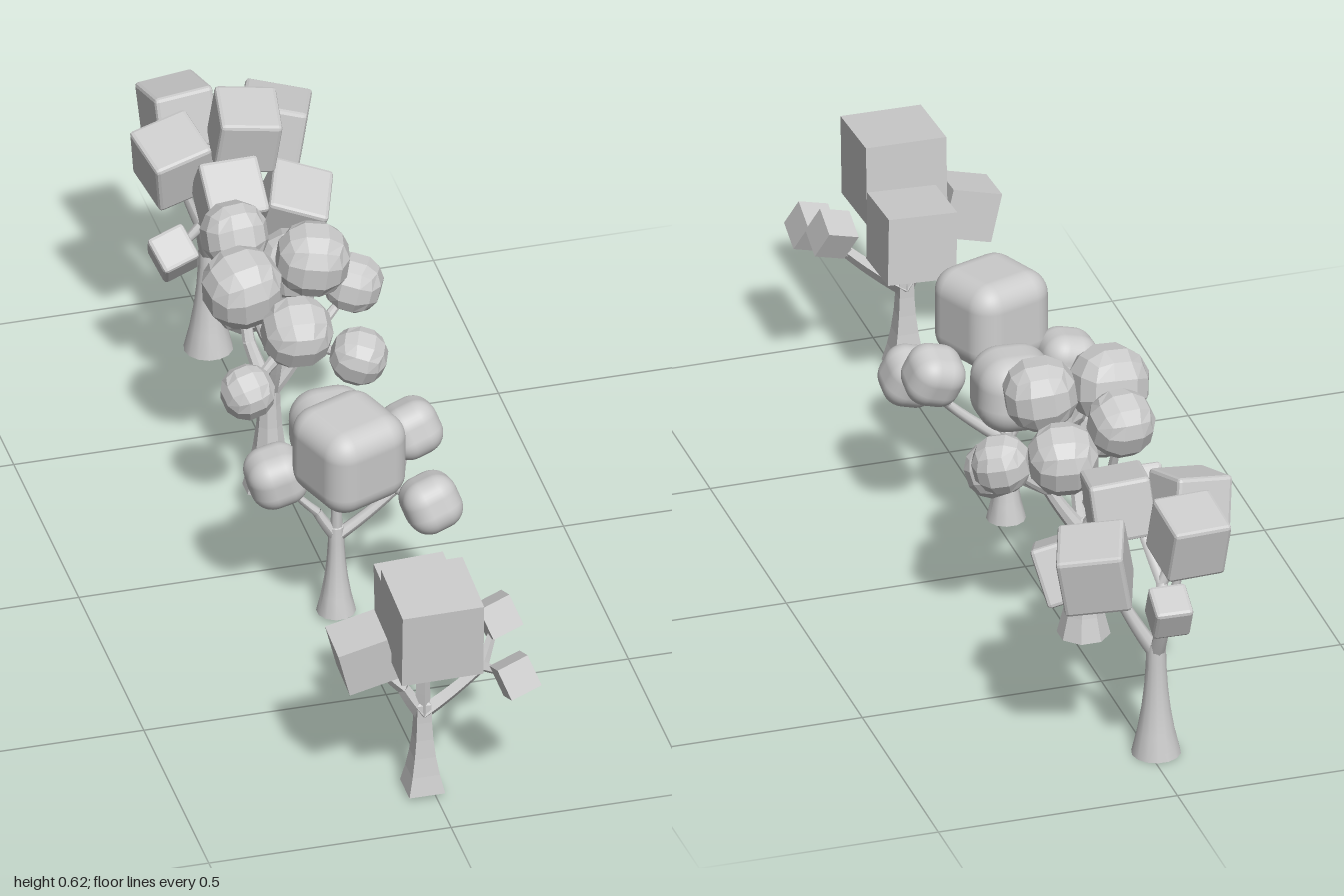
import * as THREE from 'three';
import { toCreasedNormals } from 'three/addons/utils/BufferGeometryUtils.js';
import { RoundedBoxGeometry } from 'three/addons/geometries/RoundedBoxGeometry.js';

// Box whose vertices are pushed out to a sphere: a coarse quad ball
function quadBall(size) {
  const g = new THREE.BoxGeometry(1, 1, 1, 3, 3, 3);
  const p = g.attributes.position, v = new THREE.Vector3();
  for (let i = 0; i < p.count; i++) {
    v.fromBufferAttribute(p, i).setLength(size / 2);
    p.setXYZ(i, v.x, v.y, v.z);
  }
  return g;
}

// Foliage shapes, one per kind of tree
const cube = (s) => new THREE.BoxGeometry(s, s, s);
const softCube = (s) => new RoundedBoxGeometry(s, s, s, 5, s * (s > 0.17 ? 0.27 : 0.38));
const bevelCube = (s) => new RoundedBoxGeometry(s, s, s, 1, 0.008);

// Foliage tilts: small crowns lift their side pieces, full crowns lean outward
const sideTilt = (p) => [p.x > 0.1 ? -0.42 : 0.08, 0, 2 * Math.abs(p.x)];
const turnedTilt = (p, size) => [p.x > 0.1 ? -0.3 : 0.04, size > 0.17 ? 0.37 : 0, 2 * Math.abs(p.x)];
const outwardTilt = (p) => [3.3 * p.z, -2.3 * p.x, -1.4 * p.x];

// Curved branch that thins from r0 to r1
function limbGeometry(a, b, r0, r1, sides) {
  const mid = a.clone().lerp(b, 0.5);
  mid.y = a.y + (b.y - a.y) * 0.42;
  const curve = new THREE.QuadraticBezierCurve3(a, mid, b);
  const steps = 6, g = new THREE.TubeGeometry(curve, steps, 1, sides);
  const p = g.attributes.position, v = new THREE.Vector3();
  for (let i = 0; i < p.count; i++) {
    const u = Math.floor(i / (sides + 1)) / steps, c = curve.getPointAt(u);
    v.fromBufferAttribute(p, i).sub(c).multiplyScalar(r0 + (r1 - r0) * u).add(c);
    p.setXYZ(i, v.x, v.y, v.z);
  }
  g.computeVertexNormals();
  return g;
}

// Trunk: closed foot, flared by a falling curve up to the first fork
function trunkGeometry(r, height, sides) {
  const profile = [new THREE.Vector2(0, 0)];
  for (let i = 0; i <= 5; i++) {
    const t = i / 5;
    profile.push(new THREE.Vector2(r * (0.4 + 0.6 * (1 - t) ** 2.2), height * t));
  }
  profile.push(new THREE.Vector2(0, height * 1.05));
  return toCreasedNormals(new THREE.LatheGeometry(profile, sides, Math.PI / sides), 0.7);
}

// One tree around its own foot. Leaves are [x, y, z, size]; each grows from the nearest fork.
function buildTree({ name, shape, tilt, sides, radius, height, flatBark, flatLeaves, forks, leaves }) {
  const group = new THREE.Group();
  group.name = name;
  const add = (part, geometry, flatShading) => {
    const material = new THREE.MeshStandardMaterial({ color: 0xcccccc, flatShading, side: THREE.DoubleSide });
    const mesh = new THREE.Mesh(geometry, material);
    mesh.name = part;
    group.add(mesh);
    return mesh;
  };

  add('trunk', trunkGeometry(radius, height, sides), flatBark);

  // Main limbs
  const twigSides = Math.min(sides, 8), rFork = radius * 0.24;
  const crotch = new THREE.Vector3(0, height - 0.025, 0);
  const nodes = forks.map((f) => new THREE.Vector3(...f));
  for (const node of nodes) {
    add('limb', limbGeometry(crotch, node, radius * 0.34, rFork, twigSides), flatBark);
  }

  // Twigs and foliage
  for (const [x, y, z, size] of leaves) {
    const p = new THREE.Vector3(x, y, z);
    const node = nodes.reduce((a, b) => (p.distanceTo(b) < p.distanceTo(a) ? b : a));
    add('twig', limbGeometry(node, p, rFork, rFork * 0.5, twigSides), flatBark);
    const leaf = add('foliage', shape(size), flatLeaves);
    leaf.position.copy(p);
    leaf.rotation.set(...tilt(p, size));
  }
  return group;
}

// Five-piece crown shared by the two small trees
const smallCrown = (grow, shift) => [
  [0.005, 0.426, 0.055 + shift, 0.168 * grow],
  [0.02, 0.354, -0.109, 0.143 * grow],
  [-0.125, 0.34, 0, 0.104 * grow],
  [0.167, 0.35 + shift, -0.047, 0.068 * grow + shift * 1.5],
  [0.167, 0.294, 0.093 + shift / 2, 0.068 * grow + shift * 1.5],
];
const smallForks = [[0.12, 0.273, 0.01], [0, 0.28, 0.005], [-0.04, 0.24, 0]];

export function createModel() {
  const model = new THREE.Group();
  model.name = 'treeSet';
  const place = (spec, x, y, z) => {
    const tree = buildTree(spec);
    tree.position.set(x, y, z);
    model.add(tree);
  };

  place({
    name: 'cubeTree', shape: cube, tilt: sideTilt, sides: 4, radius: 0.052, height: 0.2,
    flatBark: true, flatLeaves: true, forks: smallForks, leaves: smallCrown(1, 0),
  }, -0.02, 0.01, 0.855);

  place({
    name: 'softTree', shape: softCube, tilt: turnedTilt, sides: 12, radius: 0.04, height: 0.2,
    flatBark: false, flatLeaves: false, forks: smallForks, leaves: smallCrown(1.13, 0.025),
  }, -0.02, 0.01, 0.19);

  place({
    name: 'ballTree', shape: quadBall, tilt: outwardTilt, sides: 8, radius: 0.054, height: 0.25,
    flatBark: true, flatLeaves: true,
    forks: [[0, 0.34, 0.055], [-0.03, 0.32, -0.045], [0.07, 0.33, 0.01]],
    leaves: [
      [-0.04, 0.53, -0.12, 0.14], [0.073, 0.455, -0.095, 0.15], [0.183, 0.43, -0.035, 0.124],
      [-0.072, 0.522, 0.06, 0.168], [0.083, 0.542, 0.025, 0.156], [0.158, 0.345, 0.1, 0.12],
      [-0.092, 0.35, 0.177, 0.114], [0.018, 0.455, 0.145, 0.15], [-0.022, 0.36, -0.117, 0.12],
    ],
  }, -0.028, 0, -0.295);

  place({
    name: 'bevelTree', shape: bevelCube, tilt: outwardTilt, sides: 14, radius: 0.05, height: 0.25,
    flatBark: false, flatLeaves: true,
    forks: [[0.065, 0.34, 0.02], [-0.035, 0.34, 0.07], [-0.005, 0.33, -0.05]],
    leaves: [
      [-0.045, 0.52, -0.073, 0.124], [0.145, 0.468, -0.053, 0.135], [-0.095, 0.51, 0.077, 0.125],
      [0.06, 0.545, 0.057, 0.125], [-0.005, 0.475, 0.187, 0.122], [-0.125, 0.37, 0.197, 0.08],
      [0.145, 0.385, 0.112, 0.124], [0.015, 0.39, -0.133, 0.078],
    ],
  }, -0.015, 0, -0.812);
  return model;
}
